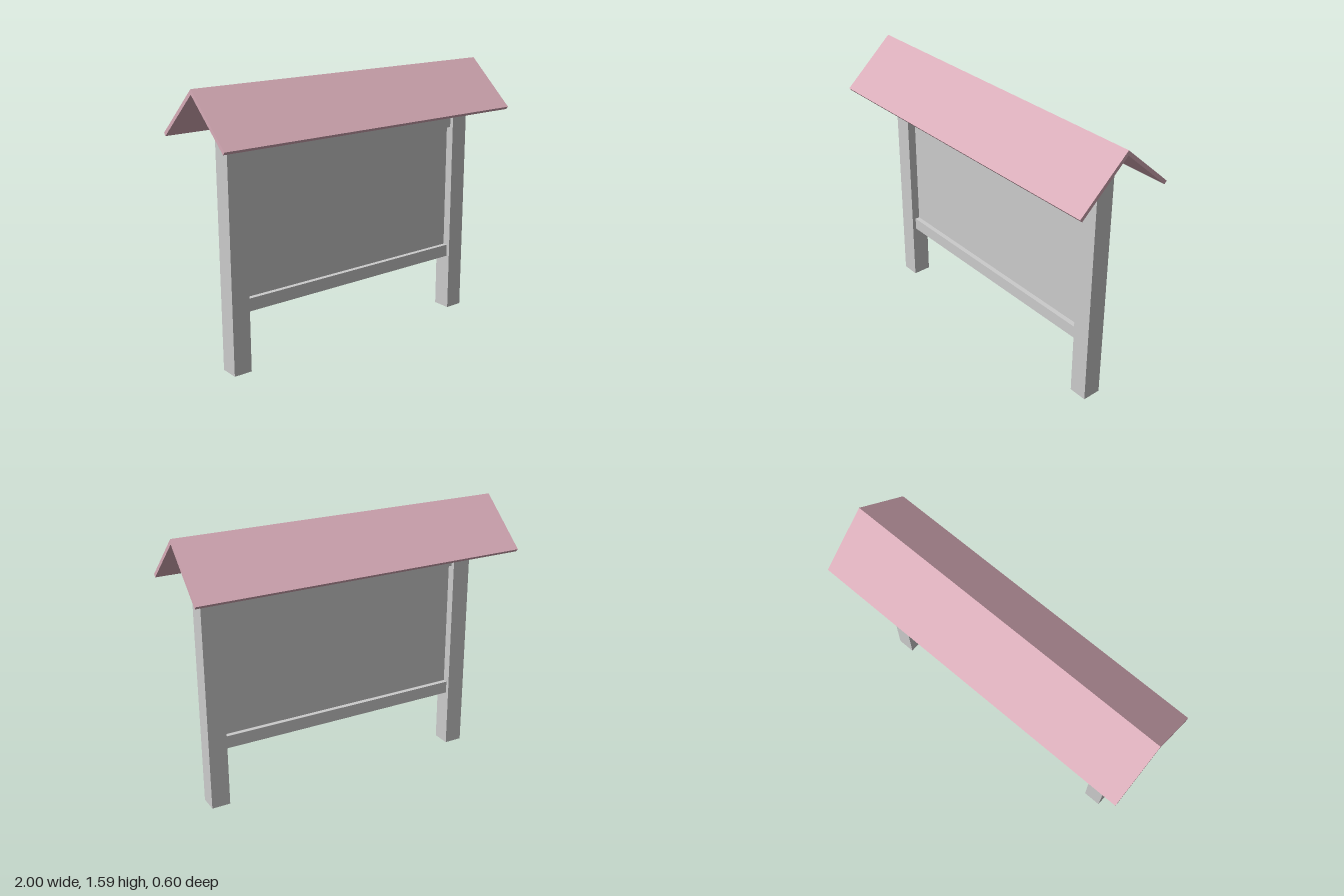
import * as THREE from 'three';

const wood = new THREE.MeshStandardMaterial({ color: 0xcccccc, flatShading: true });
const roofing = new THREE.MeshStandardMaterial({ color: 0xd8acb8, flatShading: true });

// Shared centre line of posts, rails and panel
const CX = 0.0175, CZ = 0.0115;

export function createModel() {
  const group = new THREE.Group();

  const board = (name, width, depth, x, bottom, top) => {
    const mesh = new THREE.Mesh(new THREE.BoxGeometry(width, top - bottom, depth), wood);
    mesh.name = name;
    mesh.position.set(CX + x, (bottom + top) / 2, CZ);
    group.add(mesh);
  };

  // Square posts
  board('leftPost', 0.11, 0.112, 0.8075, 0, 1.51);
  board('rightPost', 0.11, 0.112, -0.8075, 0, 1.51);

  // Thin display panel framed by two rails
  const span = 1.505;
  board('lowerRail', span, 0.067, 0, 0.345, 0.42);
  board('upperRail', span, 0.067, 0, 1.183, 1.26);
  board('panel', span, 0.01, 0, 0.42, 1.183);

  // Gabled roof: chevron section extruded along the ridge
  const section = new THREE.Shape([
    [0, 1.588], [-0.302, 1.319], [-0.288, 1.303],
    [0, 1.56], [0.288, 1.303], [0.302, 1.319],
  ].map(([z, y]) => new THREE.Vector2(z, y)));
  const roofGeometry = new THREE.ExtrudeGeometry(section, { depth: 2, bevelEnabled: false });
  roofGeometry.translate(0, 0, -1).rotateY(Math.PI / 2);
  const roof = new THREE.Mesh(roofGeometry, roofing);
  roof.name = 'roof';
  group.add(roof);

  return group;
}
